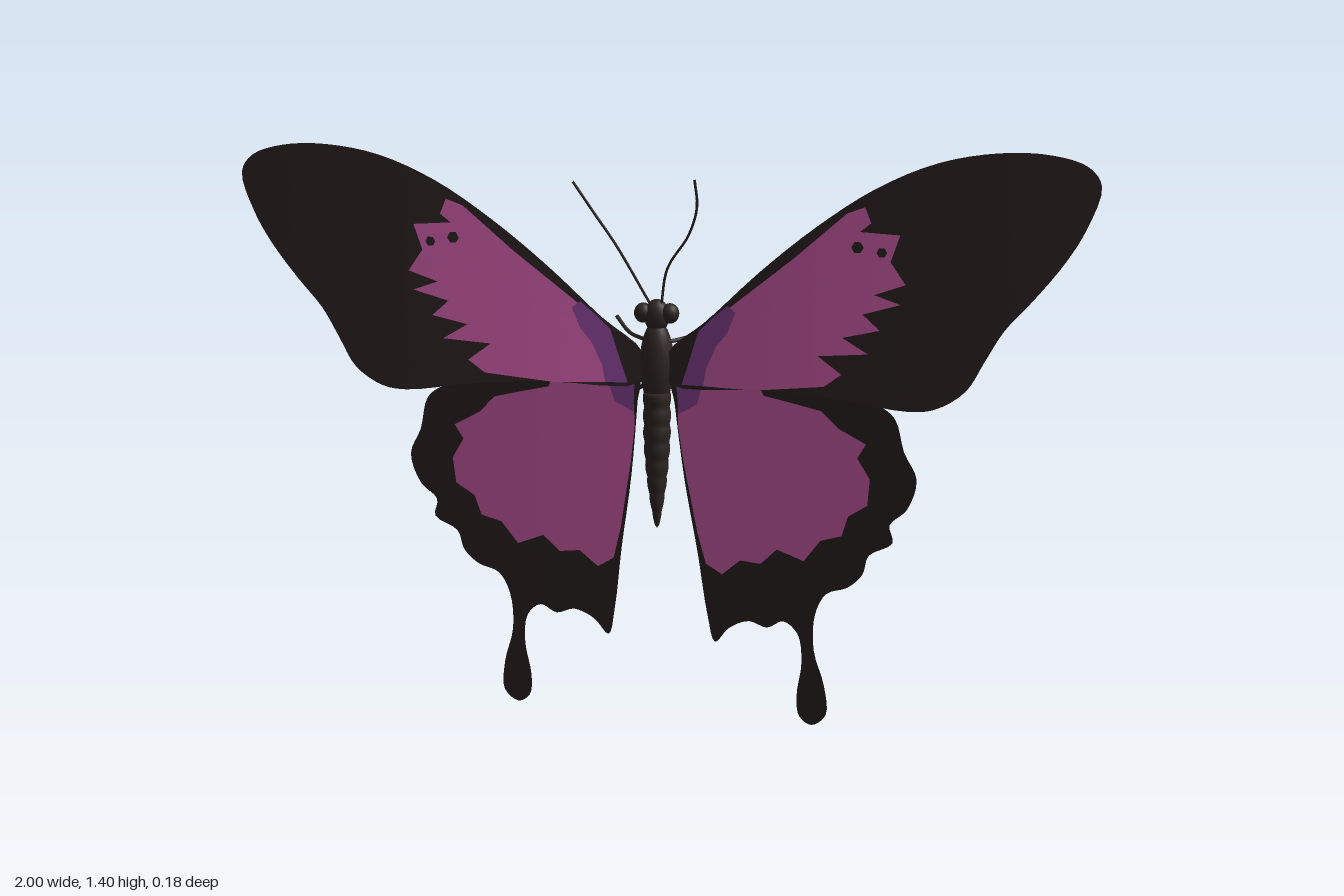
import * as THREE from 'three';
import { mergeVertices } from 'three/addons/utils/BufferGeometryUtils.js';

const paint = (name, color, side = THREE.DoubleSide) => {
  const m = new THREE.MeshStandardMaterial({ color, side });
  m.name = name;
  return m;
};

// Outlines of the wings and their patches on the +x side, as x, y pairs
const FORE = [.03, .93, .125, 1.012, .25, 1.13, .38, 1.237, .515, 1.327, .65, 1.385, .78, 1.408, .89, 1.405, .97, 1.38,
  .998, 1.34, .972, 1.25, .93, 1.175, .865, 1.09, .805, 1.02, .765, .95, .725, .88, .66, .837, .6, .828, .435, .848, .26, .857, .03, .86];
const HIND = [.045, .81, .065, .625, .095, .435, .117, .275, .135, .205, .17, .245, .22, .268, .265, .255, .305, .275,
  .34, .245, .35, .17, .338, .08, .345, .025, .375, .005, .41, .035, .405, .115, .38, .205, .383, .3, .41, .355, .46, .375,
  .495, .41, .51, .46, .565, .495, .558, .54, .597, .58, .618, .655, .588, .72, .565, .8, .525, .83, .38, .86, .17, .87, .04, .865];
const FORE_PATCH = [.18, 1.045, .33, 1.165, .41, 1.235, .45, 1.27, .49, 1.285, .505, 1.25, .48, 1.23, .57, 1.225, .55, 1.165, .585, 1.115,
  .515, 1.09, .575, 1.07, .49, 1.045, .53, 1.01, .445, .99, .505, .955, .39, .945, .445, .905, .405, .875, .24, .856, .09, .858, .11, .97];
const HIND_PATCH = [.055, .86, .053, .75, .065, .66, .095, .49, .115, .41, .155, .385, .2, .425, .25, .42, .29, .46, .355, .435,
  .395, .49, .445, .505, .46, .555, .505, .585, .51, .65, .48, .7, .5, .735, .435, .77, .395, .81, .33, .825, .26, .84, .25, .862];
const FORE_BAND = [.175, 1.05, .195, 1.035, .175, .985, .15, .955, .125, .9, .118, .858, .065, .858, .085, .92, .105, .985, .14, 1.02];
const HIND_BAND = [.05, .862, .115, .862, .1, .81, .055, .785];

// Gentle curvature of each wing
const foreBend = (x, y) => .17 * Math.abs(x) - .1 * x * x + .012 * x;
const hindBend = (x, y) => .06 * Math.abs(x) - .04 * x * x - .11 * (.8 - y) - .007 + .012 * x;

function outline(data, smooth) {
  const pts = [];
  for (let i = 0; i < data.length; i += 2) pts.push(new THREE.Vector3(data[i], data[i + 1], 0));
  if (!smooth) return pts;
  const curve = new THREE.CatmullRomCurve3(pts, true, 'centripetal');
  return curve.getPoints(pts.length * 4).slice(0, -1);
}

// Flat sheet, subdivided and then bent by a rule
function sheet(data, side, bend, offset, { smooth = false, spots = [] } = {}) {
  const shape = new THREE.Shape(outline(data, smooth).map(p => new THREE.Vector2(p.x, p.y)));
  for (const [x, y, r] of spots) shape.holes.push(new THREE.Path().absarc(x, y, r, 0, Math.PI * 2, true));
  const flat = new THREE.ShapeGeometry(shape, 3).toNonIndexed().attributes.position;
  const out = [];
  const split = (a, b, c) => {
    const d = [a.distanceTo(b), b.distanceTo(c), c.distanceTo(a)];
    const longest = Math.max(...d);
    if (longest < .07) {
      for (const p of side > 0 ? [a, b, c] : [a, c, b]) {
        out.push(p.x * side, p.y, bend(p.x * side, p.y) + offset);
      }
      return;
    }
    if (d[1] === longest) [a, b, c] = [b, c, a];
    else if (d[2] === longest) [a, b, c] = [c, a, b];
    const m = a.clone().add(b).multiplyScalar(.5);
    split(a, m, c);
    split(m, b, c);
  };
  const at = i => new THREE.Vector2(flat.getX(i), flat.getY(i));
  for (let i = 0; i < flat.count; i += 3) split(at(i), at(i + 1), at(i + 2));
  const g = new THREE.BufferGeometry();
  g.setAttribute('position', new THREE.Float32BufferAttribute(out, 3));
  const merged = mergeVertices(g, 1e-5);
  merged.computeVertexNormals();
  return merged;
}

export function createModel() {
  const model = new THREE.Group();
  model.name = 'butterfly';
  const dark = paint('dark wing brown', 0x2a2020);
  const pink = paint('wing pink', 0xc85aa4);
  const purple = paint('wing purple', 0x84408f);
  const bodyDark = paint('body brown', 0x2c2421, THREE.FrontSide);

  const add = (name, geometry, material, parent = model) => {
    const mesh = new THREE.Mesh(geometry, material);
    mesh.name = name;
    parent.add(mesh);
    return mesh;
  };
  const ball = (name, x, y, z, rx, ry, rz) => {
    const m = add(name, new THREE.SphereGeometry(1, 20, 14), bodyDark);
    m.position.set(x, y, z);
    m.scale.set(rx, ry, rz);
  };
  const tube = (name, pts, r) => add(name, new THREE.TubeGeometry(
    new THREE.CatmullRomCurve3(pts.map(p => new THREE.Vector3(...p))), 20, r, 6), bodyDark);

  // Wings, with colour patches on both faces
  for (const side of [1, -1]) {
    const label = side > 0 ? 'left' : 'right';
    const wing = (name, edge, patch, band, bend, spots) => {
      const group = new THREE.Group();
      group.name = label + name;
      model.add(group);
      add('membrane', sheet(edge, side, bend, 0, { smooth: true }), dark, group);
      for (const face of [1, -1]) {
        add('pinkPatch', sheet(patch, side, bend, face * .0015, { spots }), pink, group);
        add('purpleBand', sheet(band, side, bend, face * .003), purple, group);
      }
    };
    wing('Forewing', FORE, FORE_PATCH, FORE_BAND, foreBend, [[.475, 1.195, .014], [.53, 1.185, .012]]);
    wing('Hindwing', HIND, HIND_PATCH, HIND_BAND, hindBend, []);
  }

  // Thorax, and abdomen tapering in bulging segments
  ball('thorax', 0, .9, -.012, .041, .105, .036);
  const profile = [new THREE.Vector2(0, .5)];
  const steps = 48;
  for (let i = 1; i < steps; i++) {
    const t = i / steps;
    const r = .033 * Math.pow(Math.sin(Math.PI * Math.min(.5, t * .62 + .02)), .8);
    profile.push(new THREE.Vector2(r * (.92 + .1 * Math.abs(Math.sin(t * Math.PI * 8))), .5 + t * .34));
  }
  profile.push(new THREE.Vector2(0, .84));
  add('abdomen', new THREE.LatheGeometry(profile, 20), bodyDark).position.z = -.014;

  // Head and eyes
  ball('head', 0, 1.015, -.012, .03, .04, .026);
  for (const s of [1, -1]) ball('eye', s * .032, 1.022, -.01, .022, .024, .022);

  // Antennae
  tube('leftAntenna', [[.012, 1.04, -.005], [.03, 1.13, .01], [.083, 1.21, .025], [.104, 1.275, .035], [.1, 1.338, .045]], .0032);
  tube('rightAntenna', [[-.012, 1.04, -.005], [-.09, 1.185, .025], [-.135, 1.255, .04], [-.183, 1.33, .055]], .0032);

  // Three pairs of legs behind the thorax
  for (const s of [1, -1]) {
    tube('frontLeg', [[s * .015, .95, -.03], [s * .05, .955, -.055], [s * .08, .965, -.07], [s * .115, 1.0, -.088]], .005);
    tube('middleLeg', [[s * .015, .91, -.03], [s * .06, .905, -.055], [s * .1, .88, -.075], [s * .13, .84, -.086]], .005);
    tube('hindLeg', [[s * .015, .85, -.03], [s * .05, .835, -.055], [s * .085, .79, -.075], [s * .11, .735, -.086]], .005);
  }
  return model;
}
